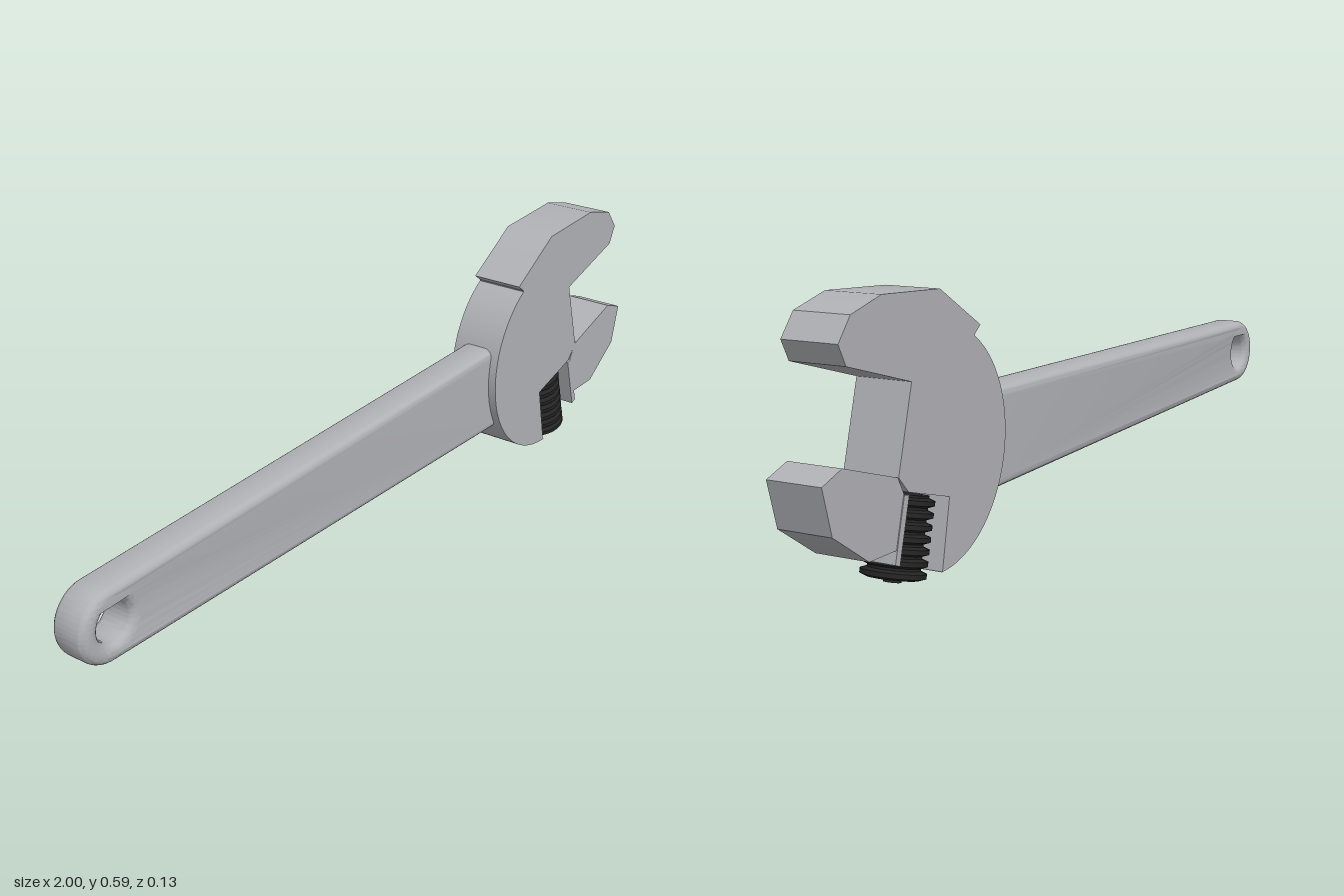
import * as THREE from 'three';
import { toCreasedNormals } from 'three/addons/utils/BufferGeometryUtils.js';

const steel = new THREE.MeshStandardMaterial({ color: 0xb0b1b5 });
steel.name = 'steel';
const blackSteel = new THREE.MeshStandardMaterial({ color: 0x242424 });
blackSteel.name = 'blackSteel';

const HEAD_HALF = 0.064;

function addMesh(group, name, geometry, material) {
  const mesh = new THREE.Mesh(geometry, material);
  mesh.name = name;
  group.add(mesh);
  return mesh;
}

// Extrudes a shape evenly to both sides of z = 0, with an optional rounded rim.
function slab(shape, half, round = 0) {
  const geometry = new THREE.ExtrudeGeometry(shape, {
    depth: 2 * (half - round),
    curveSegments: 40,
    bevelEnabled: round > 0,
    bevelThickness: round,
    bevelSize: round,
    bevelOffset: -round,
    bevelSegments: 6,
  });
  geometry.translate(0, 0, -(half - round));
  return toCreasedNormals(geometry, 0.6);
}

function polygon(points) {
  return new THREE.Shape(points.map(([x, y]) => new THREE.Vector2(x, y)));
}

// Tapered handle with a round end and a hanging hole
function handleShape() {
  const shape = new THREE.Shape();
  shape.moveTo(0.48, 0.127);
  shape.lineTo(0.48, 0.351);
  shape.lineTo(-0.915, 0.326);
  shape.absarc(-0.917, 0.243, 0.083, Math.PI / 2, Math.PI * 1.5, false);
  shape.closePath();
  const hole = new THREE.Path();
  hole.absarc(-0.908, 0.245, 0.043, 0, Math.PI * 2, true);
  shape.holes.push(hole);
  return shape;
}

// Round head with the fixed upper jaw and the open screw slot
function headShape() {
  const shape = polygon([
    [0.623, 0.019], [0.594, 0.166], [0.735, 0.206], [0.767, 0.241],
    [0.719, 0.417], [0.922, 0.476], [0.944, 0.519], [0.906, 0.567],
    [0.81, 0.593], [0.618, 0.583], [0.473, 0.495], [0.494, 0.479],
  ]);
  shape.absarc(0.626, 0.266, 0.247, THREE.MathUtils.degToRad(122), Math.PI * 1.5, false);
  return shape;
}

// Ridged adjusting screw, revolved around its own axis
function screwGeometry(length, ridges) {
  const outer = 0.066, inner = 0.053;
  const pitch = length / ridges;
  const profile = [[0, -0.008], [0.018, -0.008], [0.018, 0]];
  for (let i = 0; i < ridges; i++) {
    const y = i * pitch;
    profile.push([inner, y], [outer, y + pitch * 0.2], [outer, y + pitch * 0.6], [inner, y + pitch * 0.8]);
  }
  profile.push([inner, length], [0, length]);
  const geometry = new THREE.LatheGeometry(profile.map(([r, y]) => new THREE.Vector2(r, y)), 40);
  return toCreasedNormals(geometry, 0.5);
}

export function createModel() {
  const group = new THREE.Group();
  group.name = 'adjustableWrench';

  addMesh(group, 'handle', slab(handleShape(), 0.044, 0.022), steel);
  addMesh(group, 'headWithFixedJaw', slab(headShape(), HEAD_HALF), steel);

  // Sliding lower jaw and the thin rack plate beside the screw
  const jaw = polygon([
    [0.745, 0.2], [0.767, 0.241], [0.938, 0.294], [0.999, 0.272],
    [0.972, 0.174], [0.863, 0.101], [0.772, 0.101],
  ]);
  addMesh(group, 'slidingJaw', slab(jaw, 0.062), steel);
  const rack = polygon([[0.733, 0.2], [0.749, 0.204], [0.783, 0.074], [0.768, 0.068]]);
  addMesh(group, 'rackPlate', slab(rack, HEAD_HALF), steel);

  const screw = addMesh(group, 'adjustingScrew', screwGeometry(0.167, 7), blackSteel);
  screw.position.set(0.703, 0.019, 0);
  screw.rotation.z = THREE.MathUtils.degToRad(13.5);

  return group;
}
